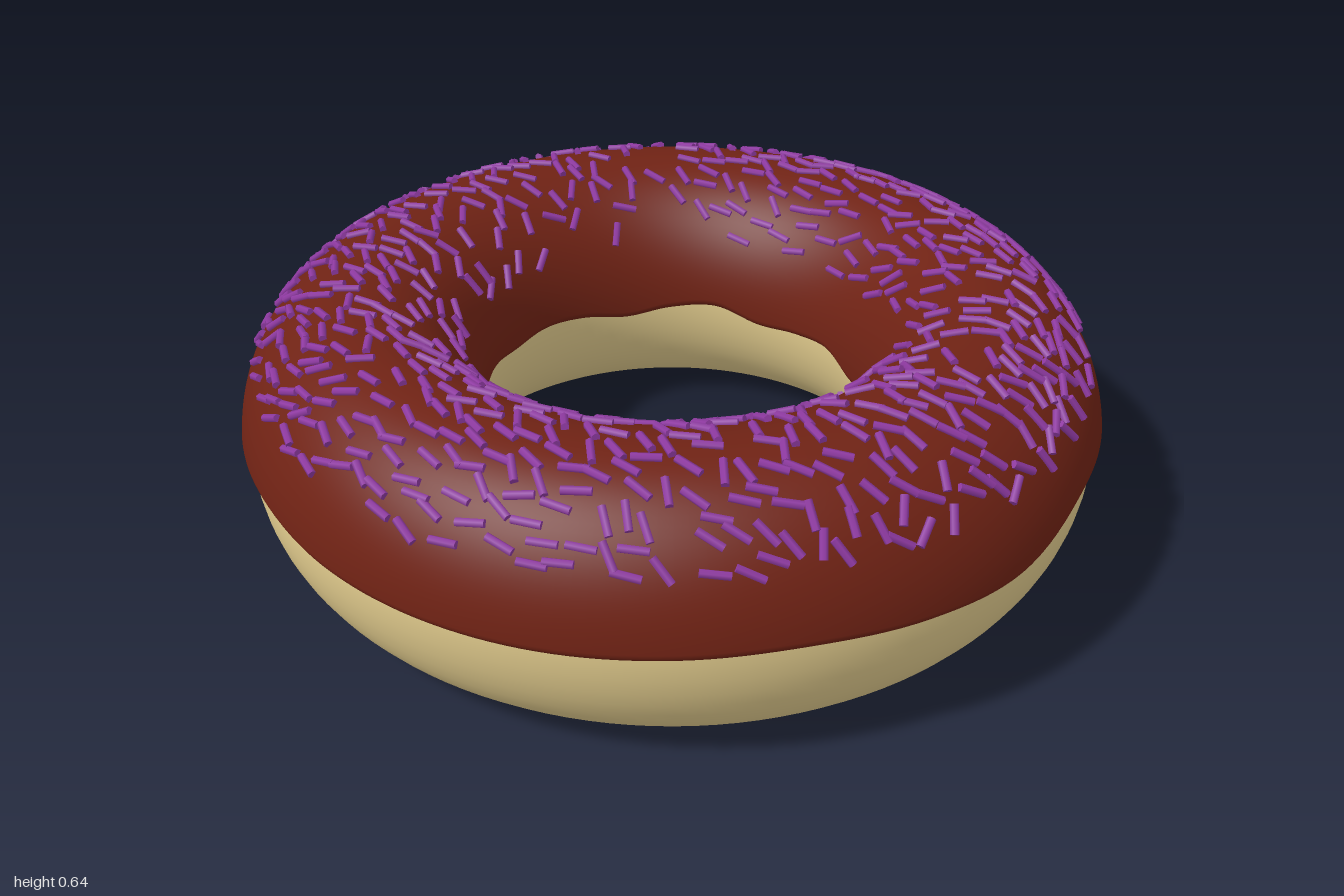
import * as THREE from 'three';
import { mergeGeometries } from 'three/addons/utils/BufferGeometryUtils.js';
import { ParametricGeometry } from 'three/addons/geometries/ParametricGeometry.js';

// Ring proportions: ring radius, half width, half height and icing thickness
const R = 0.715, A = 0.26, B = 0.303, T = 0.018;

// Height of the icing edge every 15 degrees, from +x towards +z
const OUTER_EDGE = [0.31, 0.335, 0.335, 0.34, 0.335, 0.34, 0.3, 0.31, 0.325, 0.32, 0.315, 0.315,
  0.32, 0.33, 0.32, 0.31, 0.325, 0.32, 0.31, 0.315, 0.3, 0.325, 0.335, 0.32];
const INNER_EDGE = [0.29, 0.3, 0.28, 0.3, 0.29, 0.31, 0.29, 0.3, 0.27, 0.29, 0.28, 0.3,
  0.31, 0.29, 0.28, 0.3, 0.31, 0.3, 0.31, 0.3, 0.28, 0.3, 0.31, 0.28];

// Smooth periodic lookup of an edge height
function edgeHeight(list, a) {
  const n = list.length;
  const f = ((a / (2 * Math.PI)) % 1 + 1) % 1 * n;
  const i = Math.floor(f), t = f - i;
  const [p0, p1, p2, p3] = [-1, 0, 1, 2].map(k => list[(i + k + n) % n]);
  return p1 + 0.5 * t * (p2 - p0 + t * (2 * p0 - 5 * p1 + 4 * p2 - p3 + t * (3 * (p1 - p2) + p3 - p0)));
}

// Point on the ring: azimuth a, angle phi around the tube, offset from the dough
function ringPoint(a, phi, offset, target) {
  const r = R + (A + offset) * Math.cos(phi);
  return target.set(r * Math.cos(a), B + (B + offset) * Math.sin(phi), r * Math.sin(a));
}

function ringNormal(a, phi) {
  const c = Math.cos(phi) / A;
  return new THREE.Vector3(c * Math.cos(a), Math.sin(phi) / B, c * Math.sin(a)).normalize();
}

function makeRandom(seed) {
  return () => {
    seed = (seed * 1664525 + 1013904223) % 4294967296;
    return seed / 4294967296;
  };
}

function makeDough() {
  return new ParametricGeometry((u, v, p) => ringPoint(-2 * Math.PI * u, 2 * Math.PI * v, 0, p), 128, 48);
}

// Icing shell with a wavy, rounded rim that curls back to the dough
function makeIcing() {
  const rows = 56, curl = 5;
  return new ParametricGeometry((u, v, p) => {
    const a = -2 * Math.PI * u;
    const start = Math.asin((edgeHeight(OUTER_EDGE, a) - B) / B);
    const end = Math.PI - Math.asin((edgeHeight(INNER_EDGE, a) - B) / B);
    const row = v * rows, near = Math.min(row, rows - row);
    // Quarter-round rim over the first and last rows
    const rim = 0.07;
    let offset = T, inset = rim;
    if (near < curl) {
      const q = near / curl * Math.PI / 2;
      offset = -0.006 + (T + 0.006) * Math.sin(q);
      inset = rim * (1 - Math.cos(q));
    } else {
      inset = rim + (near - curl) / (rows - 2 * curl) * (end - start - 2 * rim);
    }
    const phi = row < rows / 2 ? start + inset : end - inset;
    return ringPoint(a, phi, offset, p);
  }, 192, rows);
}

// Sprinkles lie flat on the icing, spaced apart, mostly aligned front to back
function makeSprinkles() {
  const random = makeRandom(29);
  const stick = new THREE.CylinderGeometry(0.009, 0.009, 0.06, 6);
  const placed = [], parts = [];
  for (let tries = 0; tries < 9000 && parts.length < 680; tries++) {
    const a = random() * 2 * Math.PI;
    const phi = 0.6 + random() * 1.95;
    const chance = random(), turn = (random() - 0.5) * 1.5;
    // Thinner cover on the two diagonals of the +x side and down the hole
    const diagonal = Math.exp(-(((Math.abs(a > Math.PI ? a - 2 * Math.PI : a) - 0.9) / 0.25) ** 2));
    const inside = THREE.MathUtils.smoothstep(phi, 1.7, 2.5);
    const weight = (1 - 0.7 * diagonal) * (1 - 0.75 * inside) * (R + A * Math.cos(phi));
    if (chance > weight) continue;
    const pos = ringPoint(a, phi, T + 0.003, new THREE.Vector3());
    if (placed.some(q => q.distanceToSquared(pos) < 0.04 * 0.04)) continue;
    placed.push(pos);
    const normal = ringNormal(a, phi);
    const along = new THREE.Vector3(Math.sin(turn), 0, Math.cos(turn)).projectOnPlane(normal).normalize();
    const side = new THREE.Vector3().crossVectors(along, normal);
    const matrix = new THREE.Matrix4().makeBasis(side, along, normal.clone()).setPosition(pos);
    parts.push(stick.clone().applyMatrix4(matrix));
  }
  return mergeGeometries(parts);
}

export function createModel() {
  const group = new THREE.Group();
  group.name = 'doughnut';
  const add = (name, geometry, color, side = THREE.FrontSide) => {
    const mesh = new THREE.Mesh(geometry, new THREE.MeshStandardMaterial({ color, side }));
    mesh.name = name;
    group.add(mesh);
  };
  add('dough', makeDough(), 0xe0ca8c);
  add('icing', makeIcing(), 0x6f2214, THREE.DoubleSide);
  add('sprinkles', makeSprinkles(), 0x8f3aa2);
  return group;
}
